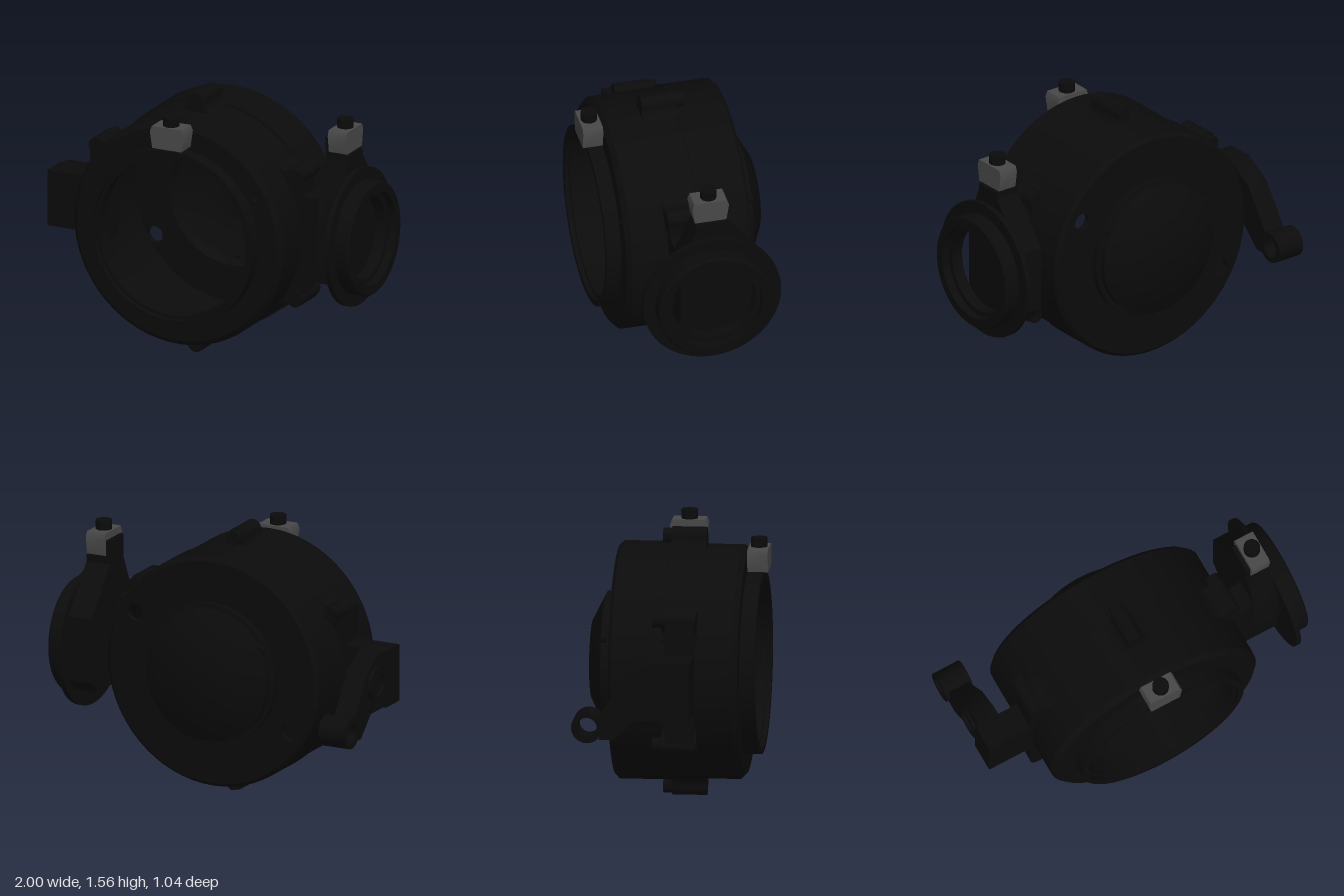
import * as THREE from 'three';
import { toCreasedNormals } from 'three/addons/utils/BufferGeometryUtils.js';

const CX = -0.05, CY = 0.78; // main axis of the housing

export function createModel() {
  const root = new THREE.Group();
  const black = new THREE.MeshStandardMaterial({ color: 0x0b0b0b });
  const grey = new THREE.MeshStandardMaterial({ color: 0x484848 });

  const add = (name, geo, pos = [0, 0, 0], mat = black) => {
    const mesh = new THREE.Mesh(toCreasedNormals(geo, 0.6), mat);
    mesh.name = name;
    mesh.position.set(...pos);
    root.add(mesh);
    return mesh;
  };
  // Box given by its limits
  const box = (name, x0, x1, y0, y1, z0, z1) =>
    add(name, new THREE.BoxGeometry(x1 - x0, y1 - y0, z1 - z0),
      [(x0 + x1) / 2, (y0 + y1) / 2, (z0 + z1) / 2]);
  // Turned part: profile of [radius, distance along axis]
  const lathe = (pts, axis, seg = 64) => {
    const g = new THREE.LatheGeometry(pts.map(p => new THREE.Vector2(...p)), seg);
    if (axis === 'z') g.rotateX(Math.PI / 2);
    if (axis === 'x') g.rotateZ(-Math.PI / 2);
    return g;
  };
  const rod = (r, a, b, axis) => lathe([[0, a], [r, a], [r, b], [0, b]], axis, 24);
  const tube = (ri, ro, a, b, axis) =>
    lathe([[ri, a], [ro, a], [ro, b], [ri, b], [ri, a]], axis, 32);
  const extrude = (shape, depth) =>
    new THREE.ExtrudeGeometry(shape, { depth, bevelEnabled: false, curveSegments: 32 });
  // Plate outlined by [z, y] points, spanning x0..x1
  const sidePlate = (name, pts, x0, x1) =>
    add(name, extrude(new THREE.Shape(pts.map(p => new THREE.Vector2(...p))), x1 - x0)
      .rotateY(-Math.PI / 2), [x1, 0, 0]);
  const hole = (shape, x, y, r) =>
    shape.holes.push(new THREE.Path().absarc(x, y, r, 0, Math.PI * 2, true));

  // Housing wall: two halves with a small step at the seam
  add('housingWall', lathe([
    [0.62, -0.34], [0.66, -0.34], [0.68, -0.32], [0.68, -0.035], [0.67, -0.035],
    [0.67, 0.37], [0.64, 0.4], [0.62, 0.4], [0.62, -0.34],
  ], 'z'), [CX, CY, 0]);

  // Annular end plates, each with two opposite holes
  const endPlate = (name, inner, holeR, z, depth) => {
    const s = new THREE.Shape().absarc(0, 0, 0.625, 0, Math.PI * 2);
    hole(s, 0, 0, inner);
    for (const k of [1, -1]) hole(s, 0.495 * k, 0.288 * k, holeR);
    add(name, extrude(s, depth), [CX, CY, z]);
  };
  endPlate('backPlate', 0.4, 0.05, -0.34, 0.04);
  endPlate('frontPlate', 0.48, 0.018, 0.36, 0.04);

  // Front collar around the opening
  add('frontCollar', lathe([
    [0.48, 0.33], [0.525, 0.33], [0.525, 0.488], [0.49, 0.488], [0.49, 0.46],
    [0.47, 0.46], [0.47, 0.42], [0.48, 0.42], [0.48, 0.33],
  ], 'z'), [CX, CY, 0]);

  // Thin domed cover at the back with an inner boss
  add('backDome', lathe([
    [0, -0.49], [0.23, -0.49], [0.39, -0.41], [0.39, -0.378], [0.42, -0.375],
    [0.42, -0.33], [0.4, -0.3], [0.38, -0.36], [0.22, -0.46], [0.13, -0.46],
    [0.13, -0.43], [0.1, -0.43], [0.1, -0.46], [0, -0.46],
  ], 'z'), [CX, CY, 0]);
  for (let i = 0; i < 3; i++) {
    const a = Math.PI * (0.17 + i * 2 / 3);
    add('domeScrew', tube(0.012, 0.028, -0.41, -0.36, 'z'),
      [CX + 0.385 * Math.cos(a), CY + 0.385 * Math.sin(a), 0]);
  }

  // Six filleted clamp lugs with screws around the seam
  const lug = new THREE.Shape();
  lug.moveTo(-0.12, 0.64);
  lug.lineTo(0.12, 0.64);
  lug.lineTo(0.1, 0.667);
  lug.quadraticCurveTo(0.05, 0.675, 0.05, 0.73);
  lug.absarc(0, 0.73, 0.05, 0, Math.PI);
  lug.quadraticCurveTo(-0.05, 0.675, -0.1, 0.667);
  for (let i = 0; i < 6; i++) {
    const a = i * Math.PI / 3;
    add('clampLug', extrude(lug, 0.2), [CX, CY, -0.035]).rotation.z = a;
    add('lugScrew', tube(0.02, 0.043, -0.085, -0.03, 'z'),
      [CX - 0.728 * Math.sin(a), CY + 0.728 * Math.cos(a), 0]);
    add('lugScrewCore', rod(0.021, -0.07, -0.03, 'z'),
      [CX - 0.728 * Math.sin(a), CY + 0.728 * Math.cos(a), 0]);
  }

  // Flat pads between the side lugs
  box('rightPad', -0.73, -0.63, 0.42, 1.14, -0.01, 0.155);
  box('leftPad', 0.53, 0.625, 0.42, 1.14, -0.01, 0.155);

  // Hinge arm on the right side, reaching back to an eye
  box('hingeBlock', -1, -0.7, 0.615, 0.95, -0.01, 0.155);
  sidePlate('hingeArm', [
    [0.1, 0.615], [0.1, 0.95], [-0.06, 0.95], [-0.2, 0.87], [-0.36, 0.64],
    [-0.36, 0.5], [-0.28, 0.5], [-0.16, 0.615],
  ], -0.98, -0.85);
  add('hingeBoss', tube(0.07, 0.1, -1, -0.97, 'x'), [0, 0.78, -0.1]);
  add('hingeEye', tube(0.057, 0.09, -1, -0.83, 'x'), [0, 0.573, -0.43]);

  // Concave fillet where an arm turns towards the back
  const fillet = (name, x, sx, y0, y1) => {
    const s = new THREE.Shape();
    s.moveTo(0, 0);
    s.lineTo(0.04 * sx, 0);
    s.quadraticCurveTo(0, 0, 0, 0.04);
    add(name, extrude(s, y1 - y0).rotateX(-Math.PI / 2), [x, y0, -0.01]);
  };
  fillet('hingeFillet', -0.85, 1, 0.62, 0.86);
  fillet('latchFillet', 0.73, -1, 0.53, 1.0);

  // Latch arm on the left side
  box('latchArm', 0.55, 0.88, 0.53, 1.04, -0.01, 0.155);
  sidePlate('latchBody', [
    [0.155, 0.53], [0.155, 1.04], [0.06, 1.25], [0.06, 1.29], [-0.11, 1.29],
    [-0.11, 1.25], [-0.33, 0.98], [-0.33, 0.6], [-0.26, 0.53],
  ], 0.73, 0.88);
  sidePlate('latchTongue', [[0.06, 1.25], [0.06, 1.39], [-0.11, 1.39], [-0.11, 1.25]], 0.73, 0.82);

  // Open flange ring
  add('flangeRing', lathe([
    [0.245, 0.88], [0.405, 0.88], [0.405, 0.91], [0.335, 0.91], [0.335, 0.99],
    [0.325, 1], [0.275, 1], [0.275, 0.95], [0.245, 0.95], [0.245, 0.88],
  ], 'x'), [0, 0.785, -0.025]);

  // Tapered grey clamp blocks with round knobs; outline faces +z
  const clamp = (name, x, y, z, turn) => {
    const s = new THREE.Shape([
      [-0.093, 0], [0.093, 0], [0.108, 0.1], [0.095, 0.132], [-0.095, 0.132], [-0.108, 0.1],
    ].map(p => new THREE.Vector2(...p)));
    const m = add(name, extrude(s, 0.118).translate(0, 0, -0.059), [x, y, z], grey);
    m.rotation.y = turn;
    add(name + 'Knob', rod(0.047, 0.12, 0.185, 'y'), [x, y, z]);
  };
  clamp('frontClamp', -0.053, 1.323, 0.463, 0);
  clamp('latchClamp', 0.813, 1.3, -0.025, Math.PI / 2);

  return root;
}
